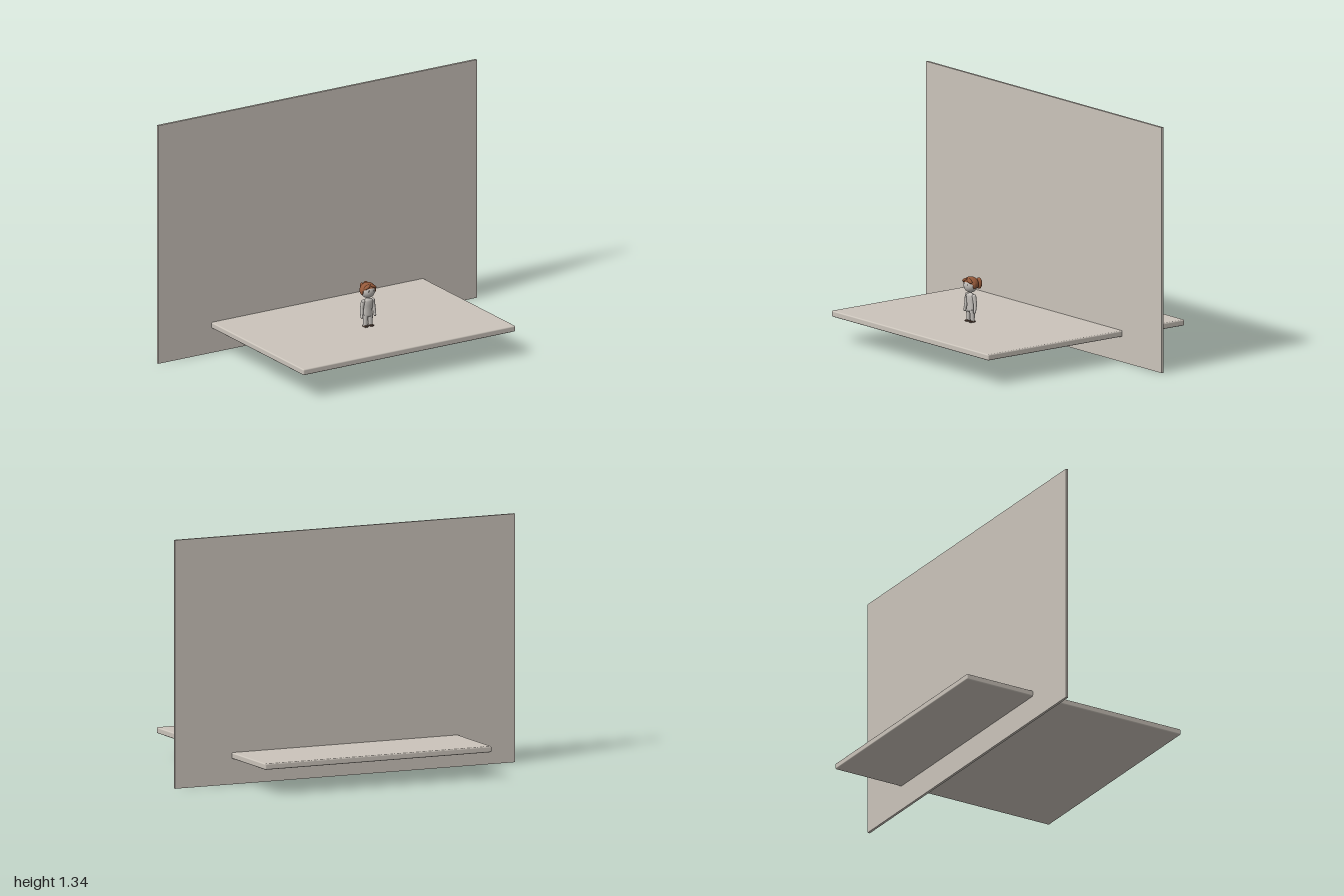
import * as THREE from 'three';
import { RoundedBoxGeometry } from 'three/addons/geometries/RoundedBoxGeometry.js';

const mat = (name, color, side = THREE.FrontSide) => {
  const m = new THREE.MeshStandardMaterial({ color, side });
  m.name = name;
  return m;
};

export function createModel() {
  const stone = mat('warm stone', 0xcbc4bb);
  const body = mat('pale grey', 0xc4c0bb);
  const hair = mat('auburn hair', 0x94593a, THREE.DoubleSide);
  const shoe = mat('dark brown', 0x5a4336);
  const eyeDark = mat('eye dark', 0x3a3330);

  const model = new THREE.Group();
  model.name = 'stage';
  const add = (parent, name, geometry, material, x, y, z) => {
    const mesh = new THREE.Mesh(geometry, material);
    mesh.name = name;
    mesh.position.set(x, y, z);
    parent.add(mesh);
    return mesh;
  };
  const ball = (parent, name, material, x, y, z, rx, ry = rx, rz = rx) => {
    const mesh = add(parent, name, new THREE.SphereGeometry(1, 24, 16), material, x, y, z);
    mesh.scale.set(rx, ry, rz);
    return mesh;
  };
  // Tapered limb between two points
  const limb = (parent, name, material, a, b, ra, rb) => {
    const p = new THREE.Vector3(...a), q = new THREE.Vector3(...b);
    const dir = q.clone().sub(p);
    const mesh = add(parent, name, new THREE.CylinderGeometry(rb, ra, dir.length(), 16), material,
      ...p.clone().add(q).multiplyScalar(0.5).toArray());
    mesh.quaternion.setFromUnitVectors(new THREE.Vector3(0, 1, 0), dir.normalize());
    return mesh;
  };

  // Wall and softly rounded floor slab
  add(model, 'backWall', new THREE.BoxGeometry(2, 1.335, 0.014), stone, 0, 0.6675, -0.25);
  add(model, 'floor', new RoundedBoxGeometry(1.332, 0.033, 1.332, 3, 0.007), stone, 0, 0.154, 0);

  // Figure, standing on the slab
  const figure = new THREE.Group();
  figure.name = 'figure';
  figure.position.set(0, 0.17, 0.254);
  model.add(figure);

  // Torso: flattened lathe from hips to neck
  const profile = [[0, 0.056], [0.024, 0.058], [0.028, 0.07], [0.025, 0.092], [0.028, 0.12],
    [0.03, 0.143], [0.024, 0.153], [0.01, 0.157], [0.009, 0.172]];
  const torso = add(figure, 'torso',
    new THREE.LatheGeometry(profile.map(p => new THREE.Vector2(...p)), 28), body, 0, 0, 0);
  torso.scale.z = 0.58;

  for (const [side, s] of [['left', 1], ['right', -1]]) {
    // Arms
    ball(figure, side + 'Shoulder', body, s * 0.03, 0.144, 0, 0.011);
    limb(figure, side + 'UpperArm', body, [s * 0.031, 0.144, 0], [s * 0.037, 0.105, -0.002], 0.011, 0.01);
    ball(figure, side + 'Elbow', body, s * 0.037, 0.105, -0.002, 0.01);
    limb(figure, side + 'Forearm', body, [s * 0.037, 0.105, -0.002], [s * 0.041, 0.07, 0.004], 0.01, 0.008);
    ball(figure, side + 'Hand', body, s * 0.041, 0.062, 0.005, 0.007, 0.011, 0.008);
    // Legs and shoes
    limb(figure, side + 'Leg', body, [s * 0.014, 0.068, 0], [s * 0.017, 0.008, 0], 0.0145, 0.0115);
    add(figure, side + 'Shoe', new RoundedBoxGeometry(0.021, 0.01, 0.033, 2, 0.004), shoe,
      s * 0.017, 0.006, 0.003);
    // Eyes
    ball(figure, side + 'Eye', eyeDark, s * 0.013, 0.207, 0.0325, 0.0032, 0.005, 0.0015);
  }

  // Head, hair cap tilted backwards, and side locks
  ball(figure, 'head', body, 0, 0.201, 0, 0.039, 0.04, 0.036);
  const cap = add(figure, 'hairCap',
    new THREE.SphereGeometry(1, 32, 20, 0, Math.PI * 2, 0, Math.PI * 0.54), hair, 0, 0.204, -0.001);
  cap.scale.set(0.045, 0.043, 0.04);
  cap.rotation.x = -0.6;
  for (const s of [-1, 1]) {
    const fringe = ball(figure, 'fringe', hair, s * 0.019, 0.228, 0.022, 0.021, 0.009, 0.012);
    fringe.rotation.z = -s * 0.5;
    ball(figure, 'sideLock', hair, s * 0.039, 0.203, 0.002, 0.007, 0.018, 0.013);
  }

  // Bun behind the head with a small tuft
  ball(figure, 'bun', hair, 0.014, 0.207, -0.046, 0.021, 0.031, 0.013);
  ball(figure, 'bunTuft', hair, -0.001, 0.207, -0.058, 0.011, 0.022, 0.011);

  return model;
}
